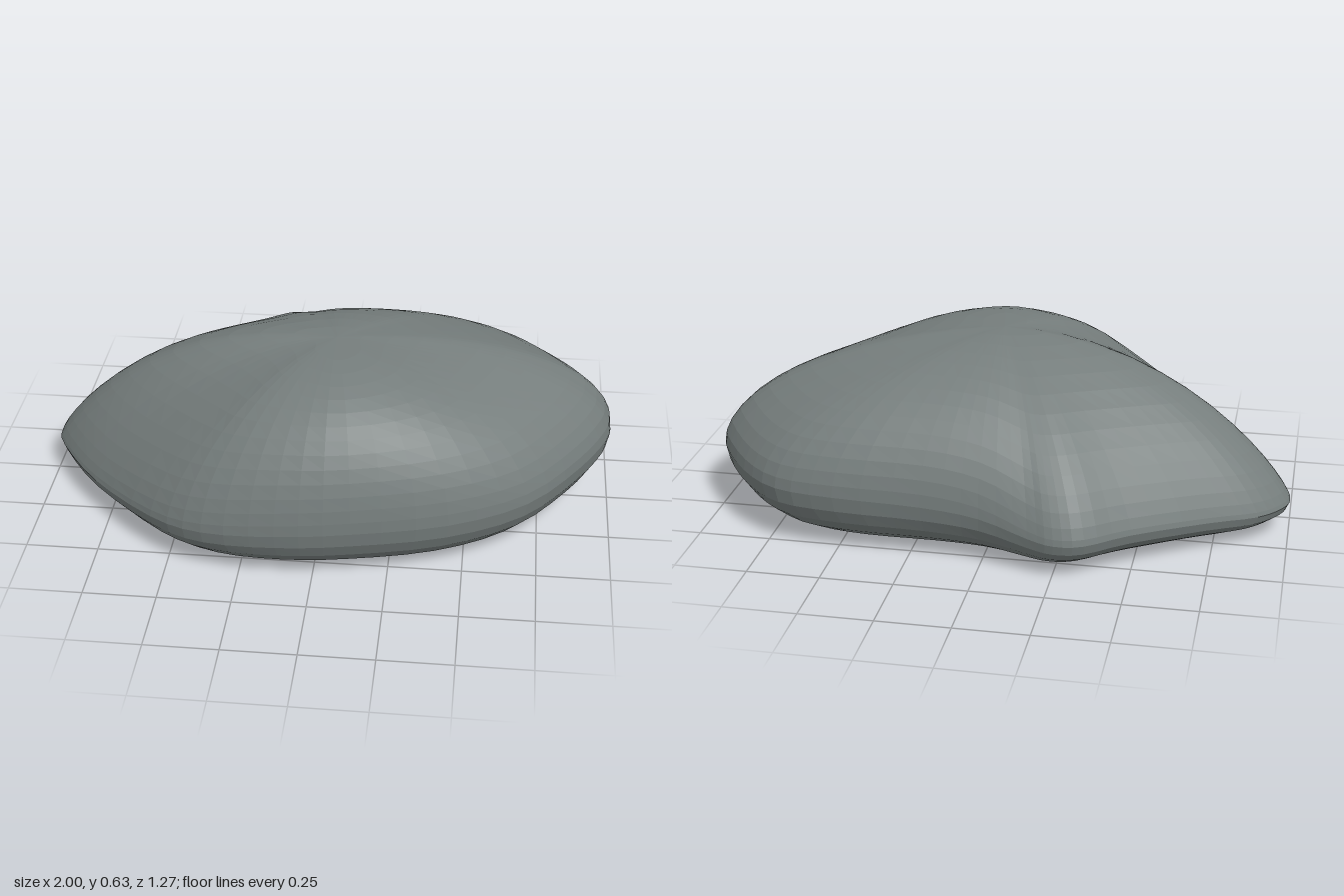
import * as THREE from 'three';

// Rim of the boulder: x, z, rim height, then roundness along and up the slope
const RIM = [
  [1, -0.14, 0.22, 1.85, 1.9], [0.985, -0.04, 0.22, 1.8, 1.85], [0.89, 0.14, 0.21, 1.85, 1.8],
  [0.71, 0.37, 0.2, 2.1, 1.8], [0.45, 0.525, 0.2, 2.75, 1.9], [0.13, 0.61, 0.2, 3.4, 1.9],
  [-0.12, 0.635, 0.19, 2.9, 1.85], [-0.37, 0.605, 0.17, 2.4, 1.65], [-0.56, 0.5, 0.15, 2, 1.45],
  [-0.81, 0.25, 0.12, 1.9, 1.25], [-0.97, 0.02, 0.11, 2.15, 1.2], [-1, -0.08, 0.11, 2.25, 1.2],
  [-0.98, -0.16, 0.11, 2.25, 1.2], [-0.9, -0.25, 0.11, 2.25, 1.25], [-0.74, -0.35, 0.12, 2.25, 1.3],
  [-0.5, -0.51, 0.13, 2.1, 1.35], [-0.36, -0.62, 0.13, 2, 1.4], [-0.26, -0.64, 0.13, 2, 1.4],
  [-0.17, -0.62, 0.14, 2.05, 1.5], [0, -0.585, 0.18, 2.15, 1.8], [0.2, -0.575, 0.2, 2.15, 1.95],
  [0.5, -0.575, 0.21, 2, 1.9], [0.71, -0.535, 0.21, 1.8, 1.85], [0.86, -0.41, 0.21, 1.8, 1.85],
  [0.985, -0.23, 0.22, 1.85, 1.9],
];
const CROWN = new THREE.Vector3(0.03, 0.63, 0.05);
const BASE = 0.63, UPPER = 14, LOWER = 6, AROUND = RIM.length * 3;

const closedCurve = (points) => new THREE.CatmullRomCurve3(points, true, 'catmullrom', 0.5);

function boulderGeometry() {
  const outline = closedCurve(RIM.map(([x, z]) => new THREE.Vector3(x, 0, z)));
  const slopes = closedCurve(RIM.map(([, , h, p, q]) => new THREE.Vector3(h, p, q)));
  const positions = [], index = [];
  const rows = UPPER + LOWER + 2;

  for (let i = 0; i < AROUND; i++) {
    const edge = outline.getPoint(i / AROUND);
    const { x: rimY, y: p, z: q } = slopes.getPoint(i / AROUND);
    const add = (f, y) => positions.push(
      THREE.MathUtils.lerp(CROWN.x, edge.x, f), y, THREE.MathUtils.lerp(CROWN.z, edge.z, f));
    // Domed top, from the crown down to the rim
    add(0, CROWN.y);
    for (let j = 1; j <= UPPER; j++) {
      const a = (1 - j / UPPER) * Math.PI / 2;
      add(Math.cos(a) ** (2 / p), rimY + (CROWN.y - rimY) * Math.sin(a) ** (2 / q));
    }
    // Rounded underside tucking into a flat base
    for (let j = 1; j <= LOWER; j++) {
      const a = j / LOWER * Math.PI / 2;
      add(BASE + (1 - BASE) * Math.cos(a), rimY * (1 - Math.sin(a)));
    }
    add(0, 0);
  }

  for (let i = 0; i < AROUND; i++) {
    for (let j = 0; j < rows - 1; j++) {
      const a = i * rows + j, b = ((i + 1) % AROUND) * rows + j;
      if (j > 0) index.push(a, b, a + 1);
      if (j < rows - 2) index.push(b, b + 1, a + 1);
    }
  }

  const indexed = new THREE.BufferGeometry();
  indexed.setAttribute('position', new THREE.Float32BufferAttribute(positions, 3));
  indexed.setIndex(index);
  // Separate faces give the stone its faceted look
  const geometry = indexed.toNonIndexed();
  geometry.computeVertexNormals();
  return geometry;
}

export function createModel() {
  const stone = new THREE.MeshStandardMaterial({ color: 0x757d7c });
  stone.name = 'grey stone';
  const boulder = new THREE.Mesh(boulderGeometry(), stone);
  boulder.name = 'boulder';
  const model = new THREE.Group();
  model.name = 'rock';
  model.add(boulder);
  return model;
}
